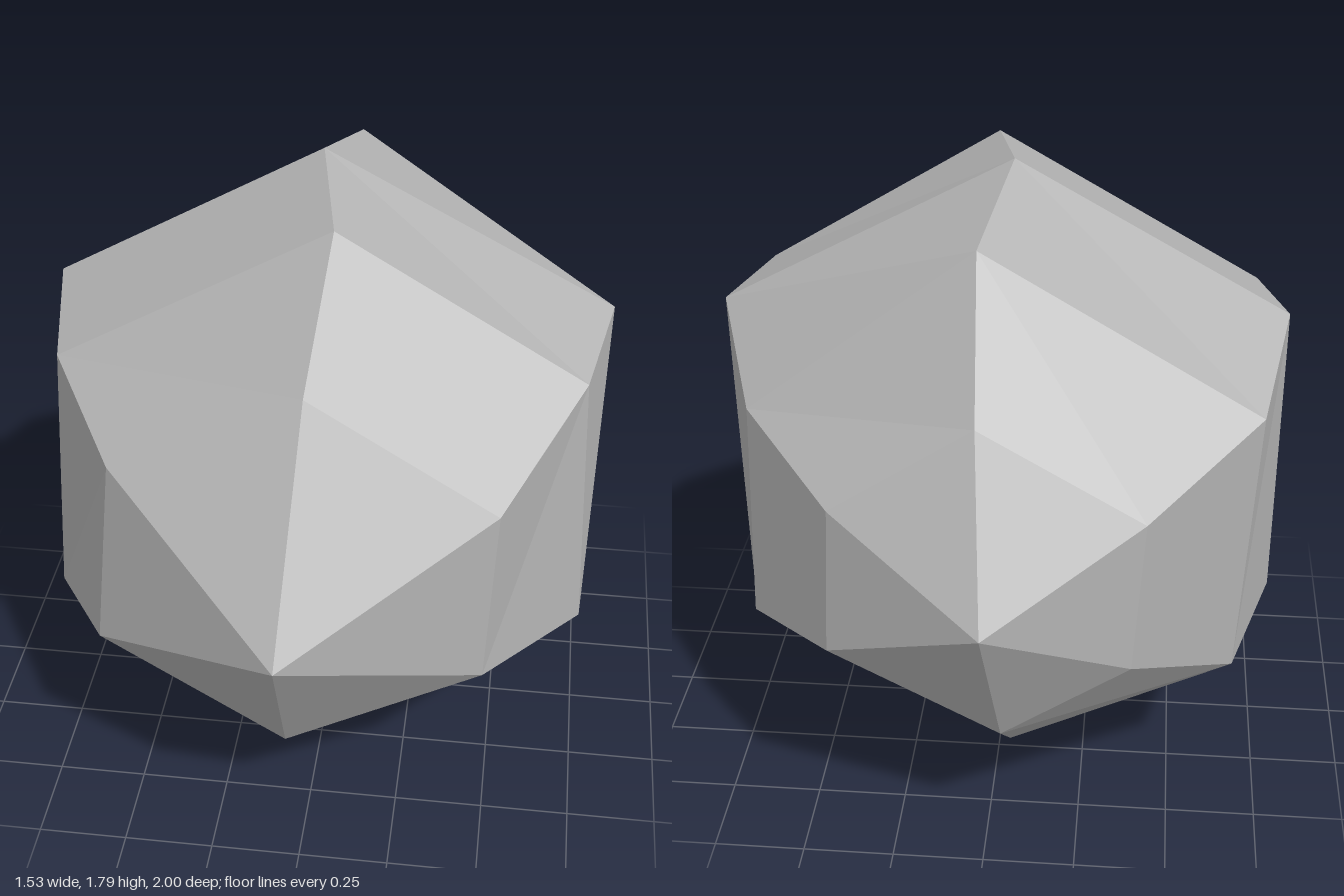
import * as THREE from 'three';

// Cross-sections from front to back: z, then six [x, y] corners,
// counter-clockwise seen from the front, starting at the top.
const RINGS = [
  { z: 0.64, p: [[0.01, 1.475], [-0.49, 1.23], [-0.55, 0.665], [-0.05, 0.34], [0.48, 0.64], [0.5, 1.165]] },
  { z: 0.28, p: [[0.04, 1.74], [-0.7, 1.32], [-0.75, 0.55], [0.03, 0.08], [0.735, 0.57], [0.7, 1.34]] },
  { z: -0.08, p: [[-0.03, 1.79], [-0.77, 1.375], [-0.77, 0.515], [0.06, 0], [0.75, 0.415], [0.765, 1.365]] },
  { z: -0.44, p: [[0.035, 1.68], [-0.7, 1.245], [-0.66, 0.48], [-0.05, 0.18], [0.66, 0.585], [0.64, 1.215]] },
  { z: -0.76, p: [[0.01, 1.355], [-0.41, 1.11], [-0.385, 0.68], [-0.05, 0.45], [0.4, 0.69], [0.38, 1.11]] },
];
const SIDES = 6;

function rockGeometry() {
  const frontTip = [-0.02, 0.91, 1];
  const backTip = [-0.02, 0.91, -1];
  const rings = RINGS.map(({ z, p }) => p.map(([x, y]) => [x, y, z]));
  const last = rings[rings.length - 1];
  const positions = [];
  const tri = (a, b, c) => positions.push(...a, ...b, ...c);

  for (let j = 0; j < SIDES; j++) {
    const k = (j + 1) % SIDES;
    // Pointed ends
    tri(frontTip, rings[0][j], rings[0][k]);
    tri(backTip, last[k], last[j]);
    // Bands between neighbouring sections
    for (let i = 0; i < rings.length - 1; i++) {
      const f = rings[i], b = rings[i + 1];
      tri(f[j], b[j], b[k]);
      tri(f[j], b[k], f[k]);
    }
  }

  const geometry = new THREE.BufferGeometry();
  geometry.setAttribute('position', new THREE.Float32BufferAttribute(positions, 3));
  geometry.computeVertexNormals();
  return geometry;
}

export function createModel() {
  const group = new THREE.Group();
  group.name = 'facetedRock';
  const stone = new THREE.MeshStandardMaterial({ color: 0xb4b4b4, flatShading: true });
  stone.name = 'stone grey';
  const rock = new THREE.Mesh(rockGeometry(), stone);
  rock.name = 'rock';
  group.add(rock);
  return group;
}
